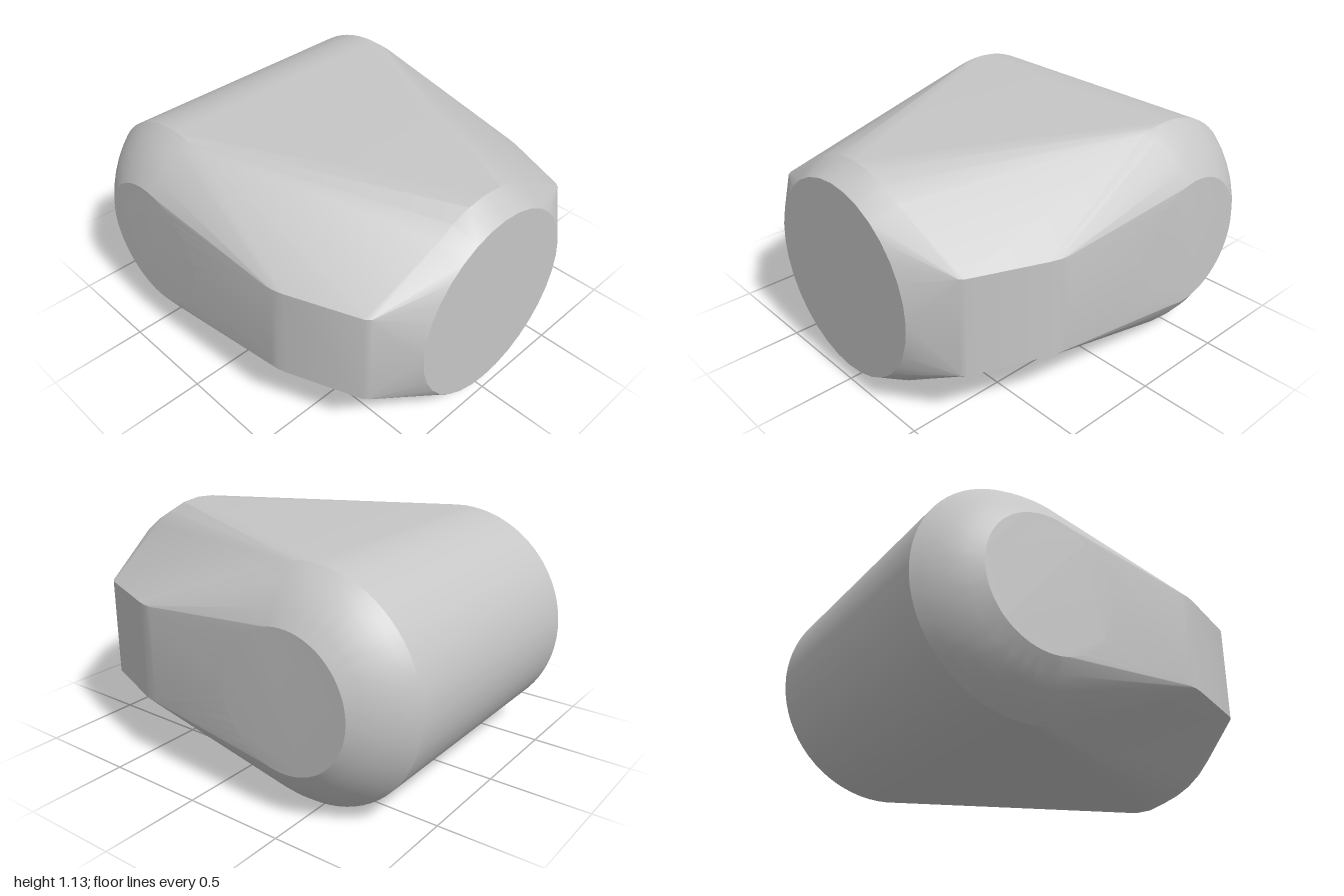
import * as THREE from 'three';
import { ConvexGeometry } from 'three/addons/geometries/ConvexGeometry.js';
import { toCreasedNormals } from 'three/addons/utils/BufferGeometryUtils.js';

const MID = 0.57; // height of the body's axis

// Calls add(cos, sin) around a circle
function ring(segments, add) {
  for (let i = 0; i < segments; i++) {
    const a = (i / segments) * Math.PI * 2;
    add(Math.cos(a), Math.sin(a));
  }
}

export function createModel() {
  const grey = new THREE.MeshStandardMaterial({ color: 0xc6c6c6 });
  grey.name = 'light grey';
  const points = [];
  const put = (x, y, z) => points.push(new THREE.Vector3(x, y, z));

  // Rear barrel lying along x, with spherical shoulders down to flat sides
  const centreX = 0.267, sphereR = 0.69;
  for (const side of [-1, 1]) {
    for (let k = 0; k <= 5; k++) {
      const x = 0.66 + (0.21 * k) / 5;
      const r = Math.sqrt(sphereR ** 2 - (x - centreX) ** 2);
      ring(72, (c, s) => put(side * x, MID + r * s, -0.433 + r * c));
    }
    // Tapered flanks with softened vertical edges: x, z
    for (const [x, z] of [[0.833, 0.39], [0.827, 0.435], [0.813, 0.48], [0.685, 0.80], [0.675, 0.828], [0.655, 0.85]]) {
      put(side * x, 0.323, z);
      put(side * x, 0.813, z);
    }
  }

  // Round nose with a bevelled rim: radius, z
  for (const [r, z] of [[0.555, 0.88], [0.485, 1]]) {
    ring(32, (c, s) => put(r * c, MID + r * s, z));
  }

  // One taut skin over all the sections
  const geometry = toCreasedNormals(new ConvexGeometry(points), THREE.MathUtils.degToRad(22));
  const body = new THREE.Mesh(geometry, grey);
  body.name = 'body';

  const model = new THREE.Group();
  model.name = 'roundedHull';
  model.add(body);
  return model;
}
